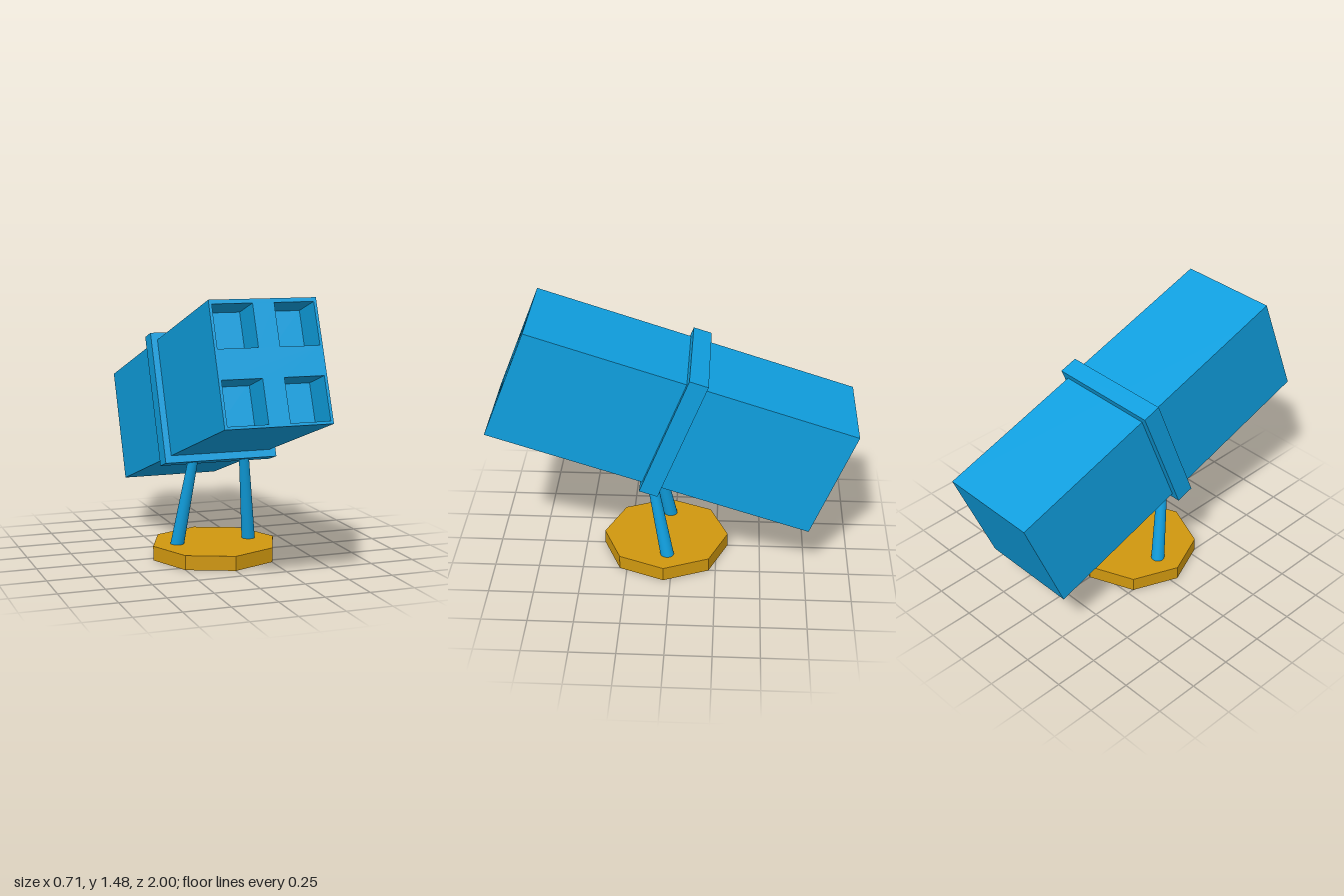
import * as THREE from 'three';

const blue = new THREE.MeshStandardMaterial({ color: 0x0f9fdf });
const gold = new THREE.MeshStandardMaterial({ color: 0xcf970f });

// Tilted and slightly sheared frame of the launcher body
const tilt = new THREE.Matrix4().set(
  1, 0, 0, 0,
  0, 0.930, 0.308, 0.894,
  0, -0.369, 0.951, 0,
  0, 0, 0, 1
);

function addMesh(group, name, geometry, material) {
  const mesh = new THREE.Mesh(geometry, material);
  mesh.name = name;
  group.add(mesh);
  return mesh;
}

function rectangle(path, x0, y0, x1, y1) {
  path.moveTo(x0, y0);
  path.lineTo(x1, y0);
  path.lineTo(x1, y1);
  path.lineTo(x0, y1);
  path.closePath();
  return path;
}

export function createModel() {
  const model = new THREE.Group();
  const halfW = 0.285, halfH = 0.325, halfL = 0.925, recess = 0.19;

  // Body: solid rear block and a front block with four square tubes
  const rear = new THREE.BoxGeometry(halfW * 2, halfH * 2, halfL * 2 - recess);
  rear.translate(0, 0, -recess / 2).applyMatrix4(tilt);
  addMesh(model, 'rearBody', rear, blue);

  const face = rectangle(new THREE.Shape(), -halfW, -halfH, halfW, halfH);
  for (const [x0, x1] of [[-0.27, -0.057], [0.057, 0.27]]) {
    for (const [y0, y1] of [[-0.31, -0.08], [0.076, 0.303]]) {
      face.holes.push(rectangle(new THREE.Path(), x0, y0, x1, y1));
    }
  }
  const front = new THREE.ExtrudeGeometry(face, { depth: recess, bevelEnabled: false });
  front.translate(0, 0, halfL - recess).applyMatrix4(tilt);
  addMesh(model, 'frontTubes', front, blue);

  // Collar around the middle
  const collar = new THREE.BoxGeometry(0.64, 0.73, 0.105);
  collar.translate(0, 0, -0.015).applyMatrix4(tilt);
  addMesh(model, 'collar', collar, blue);

  // Splayed, tapered legs, their tops sunk into the collar
  for (const [side, name] of [[1, 'leftLeg'], [-1, 'rightLeg']]) {
    const foot = new THREE.Vector3(side * 0.213, 0.06, 0.021);
    const top = new THREE.Vector3(side * 0.145, 0.59, 0.122);
    const axis = top.clone().sub(foot);
    const leg = addMesh(model, name, new THREE.CylinderGeometry(0.027, 0.038, axis.length(), 24), blue);
    leg.position.copy(foot).add(top).multiplyScalar(0.5);
    leg.quaternion.setFromUnitVectors(new THREE.Vector3(0, 1, 0), axis.normalize());
  }

  // Octagonal base
  const baseGeometry = new THREE.CylinderGeometry(0.355, 0.355, 0.08, 8).toNonIndexed();
  baseGeometry.computeVertexNormals();
  addMesh(model, 'base', baseGeometry, gold).position.set(0, 0.04, 0.04);

  return model;
}
